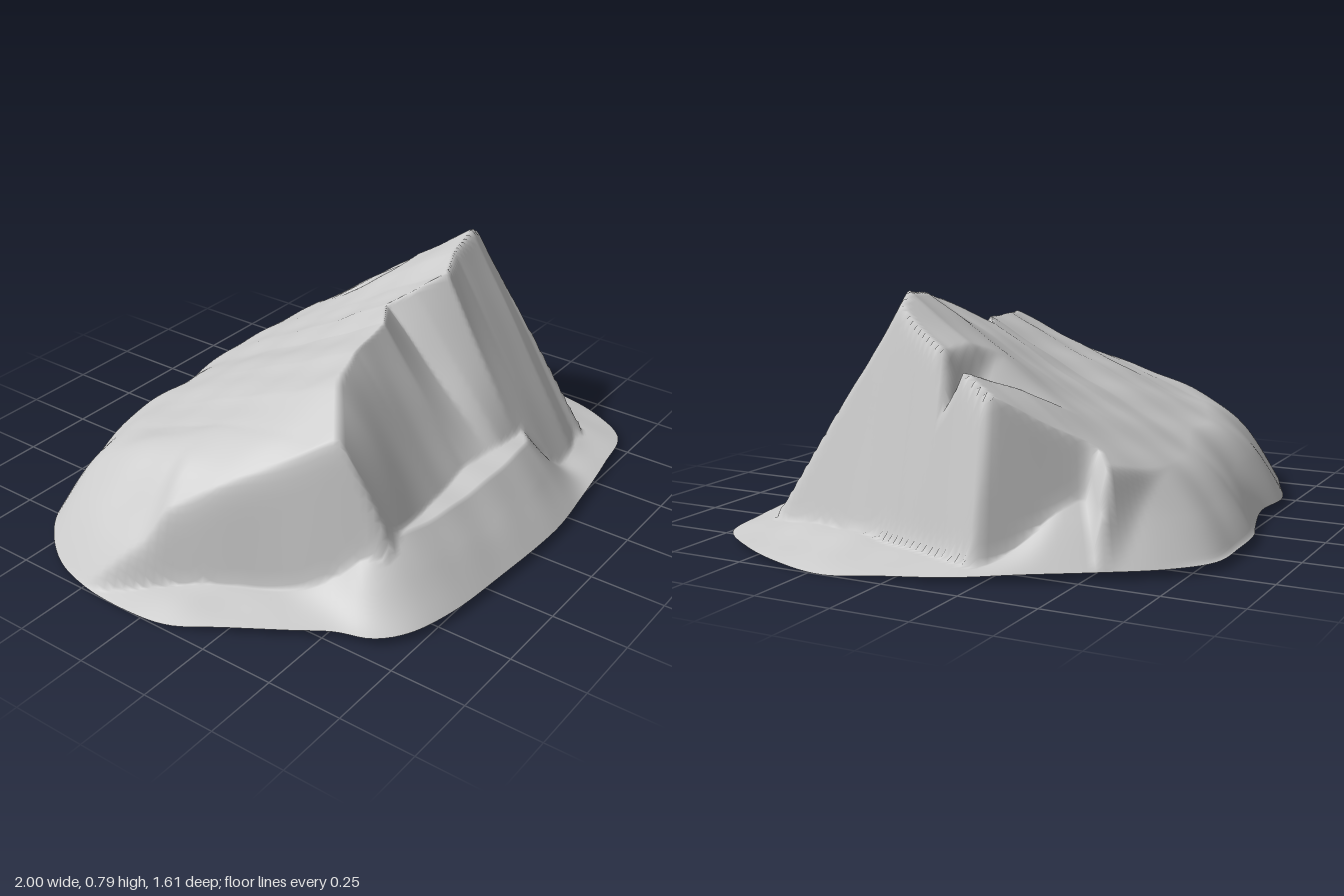
import * as THREE from 'three';

const { clamp, smoothstep } = THREE.MathUtils;

// Footprint of the rock (x, z), clockwise seen from above
const OUTLINE = [
  [0.14, 0.8], [-0.2, 0.785], [-0.45, 0.76], [-0.61, 0.71], [-0.69, 0.64], [-0.73, 0.53], [-0.8, 0.42],
  [-0.9, 0.25], [-0.98, 0.1], [-1, -0.05], [-0.99, -0.25], [-0.94, -0.41], [-0.8, -0.57], [-0.6, -0.66],
  [-0.4, -0.73], [-0.22, -0.72], [0, -0.77], [0.1, -0.8], [0.27, -0.81], [0.45, -0.8], [0.58, -0.7],
  [0.7, -0.53], [0.8, -0.36], [0.9, -0.18], [0.96, 0.03], [1, 0.2], [0.97, 0.38], [0.9, 0.55],
  [0.79, 0.69], [0.6, 0.735], [0.35, 0.775],
];

// Front face by x: crest z, crest height, foot z, foot height
const FACE = [
  [-0.55, 0.37, 0.59, 0.58, 0.2], [-0.4, 0.29, 0.635, 0.56, 0.22], [-0.2, 0.22, 0.65, 0.54, 0.23],
  [0, 0.19, 0.65, 0.53, 0.21], [0.13, 0.11, 0.655, 0.54, 0.22], [0.19, 0.18, 0.7, 0.55, 0.22],
  [0.28, 0.25, 0.755, 0.56, 0.2], [0.4, 0.2, 0.775, 0.61, 0.11], [0.56, 0.17, 0.795, 0.61, 0.08],
  [0.64, 0.15, 0.75, 0.58, 0.08],
];

function faceAt(x) {
  let i = 0;
  while (i < FACE.length - 2 && x > FACE[i + 1][0]) i++;
  const [a, b] = [FACE[i], FACE[i + 1]];
  const k = clamp((x - a[0]) / (b[0] - a[0]), 0, 1);
  return a.map((v, j) => v + (b[j] - v) * k);
}

// Lower of two planes with a rounded edge of width k
const softMin = (a, b, k) => Math.min(a, b) - Math.max(k - Math.abs(a - b), 0) ** 2 / (4 * k);

const ripple = (x, z) =>
  0.006 * Math.sin(9 * x + 4 * z + 1) * Math.sin(8 * z - 3 * x) +
  0.004 * Math.sin(21 * x - 13 * z) * Math.cos(17 * z + 11 * x);

// Height of the rock: the lowest of its cleaved planes, above a sloping skirt; t is 0 at centre, 1 at the rim
function heightAt(x, z, t) {
  const [, crestZ, crestY, footZ, footY] = faceAt(x);
  const rim = 0.03 - 0.025 * Math.abs(x) ** 10;

  // Broken front face, slightly bulging towards the left corner
  const k = (z - crestZ) / (footZ - crestZ);
  const bulge = 0.16 * clamp(k, 0, 1) * clamp(1 - k, 0, 1) * smoothstep(-x, 0.1, 0.4);
  const front = crestY - (crestY - footY) * k + bulge;

  // Worn back and left slopes, rounding down to the rim behind
  const back = crestY - (crestY - 0.255) * (crestZ - z) / (crestZ + 0.6);
  const leftSlope = 0.65 + 0.88 * (x + 0.42);
  const rightCorner = smoothstep(x - z, 0.75, 0.95) * smoothstep(z, -0.6, -0.35);
  const steep = 1.45 + 8 * Math.max(smoothstep(z, -0.1, 0.2), rightCorner);
  const slopes = softMin(softMin(back, leftSlope, 0.1), rim + steep * (1 - t), 0.18);

  // Steep side walls; the one behind fades out into the back slope
  const leftWall = 0.1 - 6 * (-0.869 * x + 0.495 * z - 0.745);
  const lean = z > 0.1 ? 0.2 : 0.1;
  const rightWall = 0.74 - 4.3 * (x + lean * (z - 0.1) - 0.645);
  const backRightWall = 0.45 - 4 * (x - z - 0.95) + smoothstep(-z, 0.42, 0.6);
  const body = Math.min(front, softMin(slopes, leftWall, 0.08), rightWall, backRightWall);

  // Rubble skirt, higher in front and behind the right wall
  const frontness = smoothstep(z, 0.3, 0.55) * smoothstep(x, -0.8, -0.5) * (1 - smoothstep(x, 0.25, 0.48));
  const backness = smoothstep(-z, 0.2, 0.4) * smoothstep(x, 0.4, 0.6);
  const skirt = rim + Math.min(0.2, (0.23 + 0.65 * frontness + 0.87 * backness) * (1 - t));

  return Math.max(body, skirt) + ripple(x, z) * Math.min(1, 8 * (1 - t));
}

// Open-bottomed shell made of rings growing from the centre to the footprint
function rockGeometry(rings, sides) {
  const curve = new THREE.CatmullRomCurve3(OUTLINE.map(([x, z]) => new THREE.Vector3(x, 0, z)), true);
  const rim = curve.getSpacedPoints(sides).slice(0, sides);
  const positions = [0, heightAt(0, 0, 0), 0];
  const indices = [];
  const id = (r, s) => (r === 0 ? 0 : 1 + (r - 1) * sides + (s % sides));
  for (let r = 1; r <= rings; r++) {
    const t = r / rings;
    for (const p of rim) positions.push(p.x * t, heightAt(p.x * t, p.z * t, t), p.z * t);
    for (let s = 0; s < sides; s++) {
      indices.push(id(r - 1, s), id(r, s + 1), id(r, s));
      if (r > 1) indices.push(id(r - 1, s), id(r - 1, s + 1), id(r, s + 1));
    }
  }
  const geometry = new THREE.BufferGeometry();
  geometry.setAttribute('position', new THREE.Float32BufferAttribute(positions, 3));
  geometry.setIndex(indices);
  geometry.computeVertexNormals();
  return geometry;
}

export function createModel() {
  const group = new THREE.Group();
  group.name = 'rock';
  const material = new THREE.MeshStandardMaterial({ color: 0xcccccc, side: THREE.DoubleSide });
  const shell = new THREE.Mesh(rockGeometry(110, 220), material);
  shell.name = 'rockShell';
  group.add(shell);
  return group;
}
